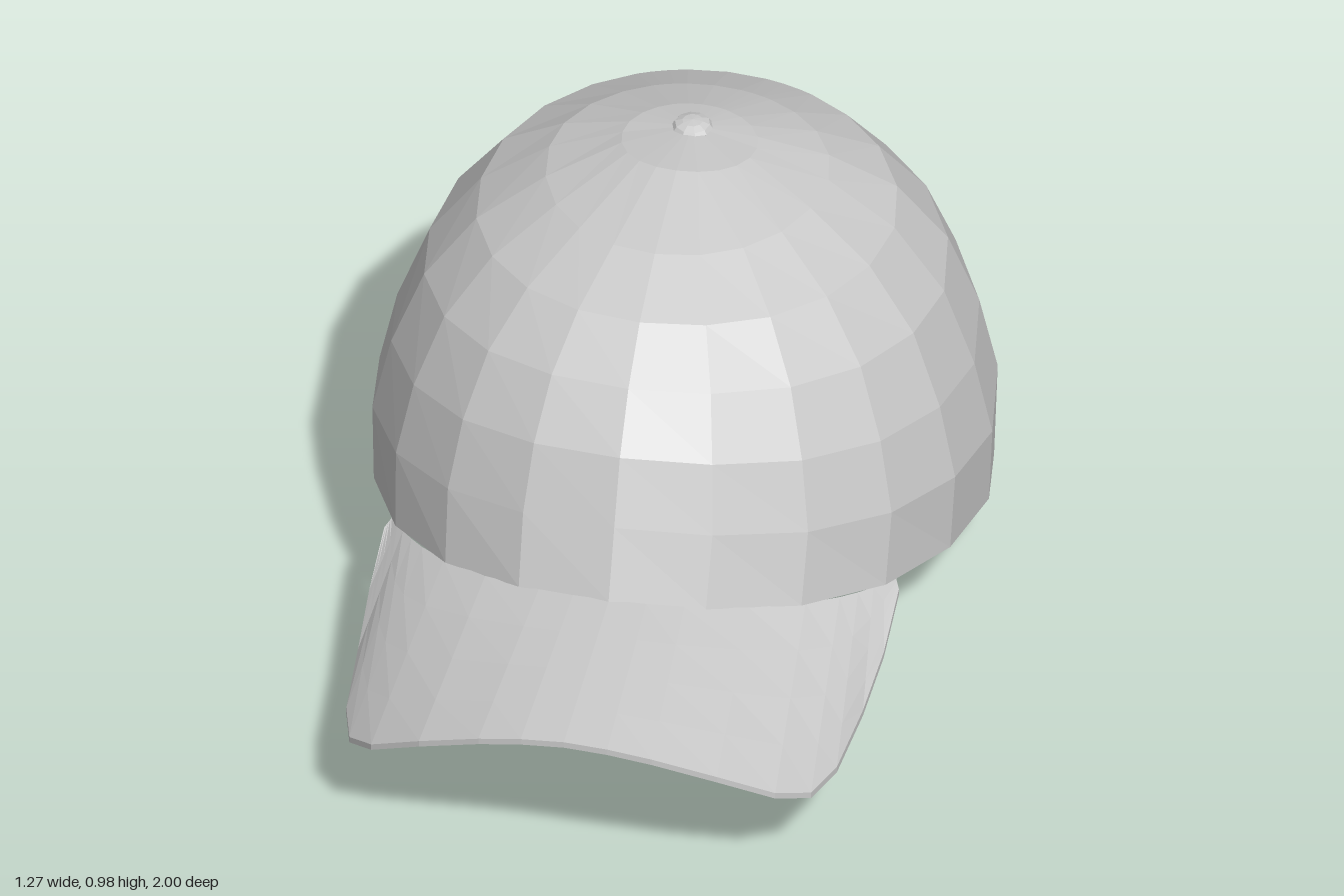
import * as THREE from 'three';

const material = new THREE.MeshStandardMaterial({ color: 0xcccccc, flatShading: true, side: THREE.DoubleSide });
const lerp = THREE.MathUtils.lerp;
const rad = THREE.MathUtils.degToRad;

// Solid between two grids of points (columns of rows); walls close the open borders
function slab(name, A, B, rimOnly = false) {
  const pos = [];
  const quad = (a, b, c, d) => pos.push(...a, ...b, ...c, ...a, ...c, ...d);
  const m = A.length - 1, n = A[0].length - 1;
  for (let i = 0; i < m; i++) {
    for (let j = 0; j < n; j++) {
      quad(A[i][j], A[i][j + 1], A[i + 1][j + 1], A[i + 1][j]);
      quad(B[i][j], B[i + 1][j], B[i + 1][j + 1], B[i][j + 1]);
    }
    quad(A[i][n], B[i][n], B[i + 1][n], A[i + 1][n]);
    if (!rimOnly) quad(B[i][0], A[i][0], A[i + 1][0], B[i + 1][0]);
  }
  for (let j = 0; j < n && !rimOnly; j++) {
    quad(B[0][j], B[0][j + 1], A[0][j + 1], A[0][j]);
    quad(A[m][j], A[m][j + 1], B[m][j + 1], B[m][j]);
  }
  const geometry = new THREE.BufferGeometry();
  geometry.setAttribute('position', new THREE.Float32BufferAttribute(pos, 3));
  geometry.computeVertexNormals();
  const mesh = new THREE.Mesh(geometry, material);
  mesh.name = name;
  return mesh;
}

// Crown rings from apex to rim: front z, y; side x, z, y; back z, y
const rings = [
  [-0.37, 0.972, 0, -0.37, 0.972, -0.37, 0.972],
  [-0.2, 0.985, 0.14, -0.34, 0.957, -0.47, 0.95],
  [0.03, 0.945, 0.29, -0.33, 0.905, -0.6, 0.9],
  [0.19, 0.89, 0.43, -0.32, 0.81, -0.75, 0.82],
  [0.31, 0.81, 0.535, -0.31, 0.67, -0.87, 0.68],
  [0.4, 0.7, 0.6, -0.3, 0.5, -0.95, 0.52],
  [0.46, 0.565, 0.637, -0.3, 0.33, -1.0, 0.33],
  [0.52, 0.42, 0.63, -0.3, 0.155, -0.985, -0.005],
];

// Point on the crown: angle a from the front, u along the rings, inset inwards
function crownPoint(a, u, inset = 0) {
  const k = Math.min(Math.floor(u), rings.length - 2);
  const [zf, yf, sx, zs, ys, zb, yb] = rings[k].map((v, i) => lerp(v, rings[k + 1][i], u - k));
  const c = Math.cos(a), w = Math.abs(c);
  const x = sx * Math.sin(a);
  const z = c > 0 ? lerp(zs, zf, w) : lerp(zs, zb, w);
  const y = c > 0 ? lerp(ys, yf, 0.77 * w + 0.23 * w ** 4) : lerp(ys, yb, w);
  const s = 1 - inset / 0.65;
  return [x * s, y - inset * (1 - u / 7), -0.3 + (z + 0.3) * s];
}

// Column angles in degrees and where each ends; the last few form the back arch
const half = [
  [0, 7], [18, 7], [36, 7], [54, 7], [72, 7], [90, 7], [108, 7], [126, 7], [142, 7],
  [155, 7], [159, 6.5], [164, 6.29], [169, 6.2], [180, 6.2],
];
const columns = [...half.slice(1).reverse().map(([a, e]) => [-a, e]), ...half];

function crown() {
  const shell = (inset) => columns.map(([a, end]) =>
    [0, 1, 2, 3, 4, 5, 6, end].map((u) => crownPoint(rad(a), u, inset)));
  return slab('crown', shell(0), shell(0.02), true);
}

// Inner band following the rim and the arch
function sweatband() {
  const layer = (inset) => columns.map(([a, end]) => {
    const d = lerp(0.6, 0.28, Math.max(0, -Math.cos(rad(a))));
    return [end - d, end - 0.02].map((u) => crownPoint(rad(a), u, inset));
  });
  return slab('sweatband', layer(0.021), layer(0.027));
}

// Brim lofted from the crown rim to its outline: rim angle, then outline x, z, y
function brim() {
  const side = [
    [0, 0, 0.995, 0.42], [7, 0.09, 0.993, 0.413], [14, 0.18, 0.983, 0.393],
    [26, 0.31, 0.95, 0.342], [37, 0.42, 0.895, 0.275], [44, 0.48, 0.82, 0.228],
    [48, 0.51, 0.7, 0.207], [51.5, 0.525, 0.5, 0.203], [54, 0.535, 0.33, 0.225],
    [57, 0.535, 0.17, 0.265],
  ];
  const all = [...side.slice(1).reverse().map(([a, x, z, y]) => [-a, -x, z, y]), ...side];
  const layer = (drop) => all.map(([a, x, z, y]) => {
    const p = crownPoint(rad(a), 7, 0.005);
    return [0, 0.25, 0.5, 0.75, 1].map((t) =>
      [lerp(p[0], x, t), lerp(p[1], y, t) - drop, lerp(p[2], z, t)]);
  });
  return slab('brim', layer(0), layer(0.014));
}

// Closing strap across the arch with a rounded end past the middle
function strap(name, side, inset) {
  const end = -14, round = 5;
  const angles = [29, 22, 15, 8, 0, end + round];
  for (let i = 1; i <= 6; i++) angles.push(end + round - round * Math.sin(i * Math.PI / 12));
  const layer = (depth) => {
    const grid = angles.map((deg) => {
      const over = Math.max(0, (end + round - deg) / round);
      const h = 0.5 * Math.sqrt(Math.max(0.02, 1 - over * over));
      const bend = (deg / 25) ** 2;
      return [0.5 + h, 0.5 - h].map((v) => {
        const r = lerp(0.665, 0.688, v) - 0.015 * bend - depth;
        return [side * (r - 0.03) * Math.sin(rad(deg)),
          lerp(0.003, 0.137, v) + 0.018 * bend, -0.3 - r * Math.cos(rad(deg))];
      });
    });
    return side > 0 ? grid : grid.reverse();
  };
  return slab(name, layer(inset), layer(inset + 0.007));
}

export function createModel() {
  const model = new THREE.Group();
  model.name = 'cap';
  model.add(crown(), sweatband(), brim());
  model.add(strap('outerStrap', 1, 0), strap('innerStrap', -1, 0.008));

  // Button on top
  const button = new THREE.Mesh(new THREE.SphereGeometry(0.042, 10, 6), material);
  button.name = 'button';
  button.scale.y = 0.4;
  button.position.set(0, 0.971, -0.37);
  model.add(button);
  return model;
}
